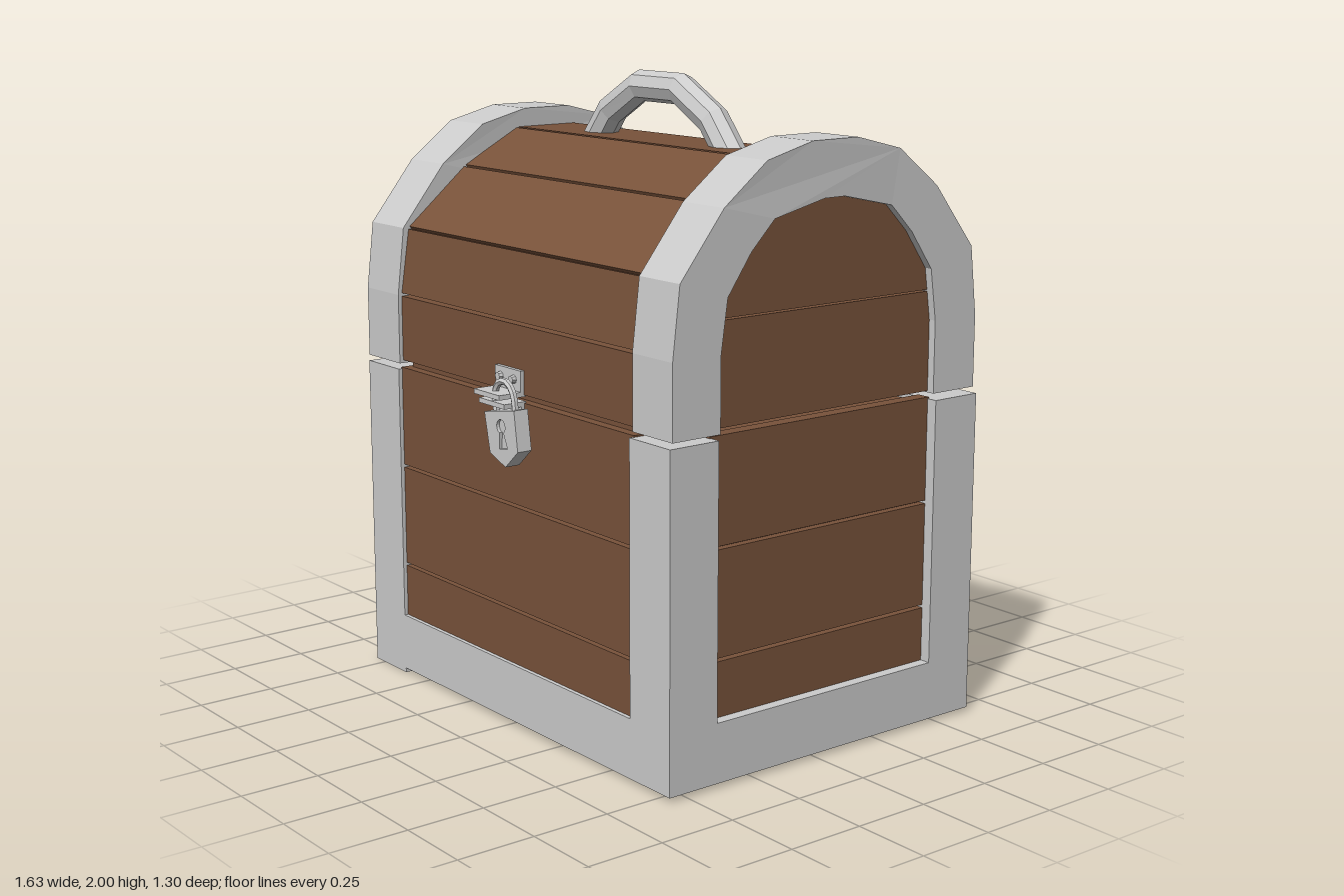
import * as THREE from 'three';

const metal = new THREE.MeshStandardMaterial({ color: 0xcccccc, flatShading: true });
const wood = new THREE.MeshStandardMaterial({ color: 0x78523a, flatShading: true });
const ZC = -0.035; // middle of the chest from front to back

export function createModel() {
  const root = new THREE.Group();

  function add(name, geometry, material, parent = root) {
    const mesh = new THREE.Mesh(geometry, material);
    mesh.name = name;
    parent.add(mesh);
    return mesh;
  }
  function group(name) {
    const g = new THREE.Group();
    g.name = name;
    root.add(g);
    return g;
  }
  // Box given by its limits on each axis
  function box(name, [x0, x1], [y0, y1], [z0, z1], material, parent) {
    const g = new THREE.BoxGeometry(x1 - x0, y1 - y0, z1 - z0);
    g.translate((x0 + x1) / 2, (y0 + y1) / 2, (z0 + z1) / 2);
    return add(name, g, material, parent);
  }
  const shapeOf = (pts) => new THREE.Shape(pts.map(([x, y]) => new THREE.Vector2(x, y)));
  // Profile of [distance from the middle, height] extruded along x
  function prism(pts, x0, x1) {
    const g = new THREE.ExtrudeGeometry(shapeOf(pts), { depth: x1 - x0, bevelEnabled: false });
    return g.rotateY(Math.PI / 2).translate(x0, 0, ZC);
  }
  // Half of an arch mirrored to a full one
  const arch = (half) => [...half, ...half.map(([s, y]) => [-s, y]).reverse()];

  // Lower frame: posts and rails
  const frame = group('lowerFrame');
  for (const sx of [-1, 1]) {
    const px = sx > 0 ? [0.615, 0.8] : [-0.8, -0.615];
    const foot = sx < 0 ? 0 : 0.015;
    box('frontPost', px, [foot, 1.035], [0.39, 0.565], metal, frame);
    box('backPost', px, [0.015, 1.035], [-0.64, -0.465], metal, frame);
    box('sideRail', px, [0.015, 0.2], [-0.465, 0.39], metal, frame);
  }
  box('frontRail', [-0.615, 0.615], [0.015, 0.2], [0.39, 0.565], metal, frame);
  box('backRail', [-0.615, 0.615], [0.015, 0.2], [-0.64, -0.465], metal, frame);

  // Lower planks around a plain inner body
  const body = group('lowerBody');
  box('innerBody', [-0.74, 0.74], [0.06, 1.02], [-0.59, 0.52], wood, body);
  box('innerRim', [-0.6, 0.6], [1.0, 1.08], [-0.59, 0.52], wood, body);
  const levels = [0.19, 0.375, 0.71, 1.045];
  for (let i = 0; i < 3; i++) {
    const y = [levels[i] + 0.005, levels[i + 1] - 0.005];
    box('frontPlank', [-0.62, 0.62], y, [0.5, 0.552], wood, body);
    box('backPlank', [-0.62, 0.62], y, [-0.625, -0.57], wood, body);
    for (const x of [[0.72, 0.765], [-0.765, -0.72]]) box('sidePlank', x, y, [-0.47, 0.395], wood, body);
  }
  for (let i = 0; i < 4; i++) {
    const z = -0.47 + i * 0.216;
    box('bottomPlank', [-0.62, 0.62], [0.04, 0.08], [z + 0.004, z + 0.212], wood, body);
  }

  // Lid: arched end bands, slightly skewed towards the back
  const lid = group('lid');
  const outer = arch([[0.6, 1.055], [0.6, 1.28], [0.575, 1.495], [0.42, 1.69], [0.265, 1.81], [0.09, 1.853]]);
  const inner = arch([[0.428, 1.055], [0.428, 1.28], [0.405, 1.44], [0.32, 1.56], [0.235, 1.645], [0.04, 1.687]]);
  for (const sx of [-1, 1]) {
    const band = sx > 0 ? prism([...outer, ...inner.slice().reverse()], 0.62, 0.8)
      : prism([...outer, ...inner.slice().reverse()], -0.807, -0.617);
    const p = band.attributes.position;
    for (let i = 0; i < p.count; i++) {
      p.setX(i, p.getX(i) + 0.01 * THREE.MathUtils.clamp((p.getZ(i) - ZC) / 0.25, -1, 1));
    }
    band.computeVertexNormals();
    add('lidBand', band, metal, lid);
    // End panels in two boards with a fine gap
    const lower = [[0.435, 1.06], [0.435, 1.28], [0.42, 1.368], [-0.42, 1.368], [-0.435, 1.28], [-0.435, 1.06]];
    const upper = arch([[0.42, 1.373], [0.41, 1.44], [0.33, 1.565], [0.24, 1.66], [0.04, 1.7]]);
    const x = sx > 0 ? [0.72, 0.765] : [-0.765, -0.72];
    add('lidEndBoard', prism(lower, ...x), wood, lid);
    add('lidEndBoard', prism(upper, ...x), wood, lid);
  }

  // Lid planks, one for each facet of the vault
  const vault = arch([[0.587, 1.06], [0.587, 1.28], [0.555, 1.495], [0.335, 1.68], [0.12, 1.793]]);
  const shrink = ([s, y]) => [s * 0.94, 1.05 + (y - 1.05) * 0.95];
  add('innerLid', prism(vault.map(shrink), -0.73, 0.73), wood, lid);
  for (let i = 0; i < vault.length - 1; i++) {
    const a = new THREE.Vector2(...vault[i]);
    const b = new THREE.Vector2(...vault[i + 1]);
    const along = b.clone().sub(a).normalize();
    const inward = new THREE.Vector2(-along.y, along.x).multiplyScalar(0.04);
    a.addScaledVector(along, 0.005);
    b.addScaledVector(along, -0.005);
    const corners = [a, b, b.clone().add(inward), a.clone().add(inward)].map((v) => [v.x, v.y]);
    add('lidPlank', prism(corners, -0.63, 0.63), wood, lid);
  }

  // Carrying handle: an eight-sided bar along a few straight stretches
  const path = [[-0.34, 1.76], [-0.25, 1.868], [-0.1, 1.953], [0.1, 1.953], [0.255, 1.868], [0.345, 1.76]];
  class BarCurve extends THREE.Curve {
    getUtoTmapping(u) { return u; }
    getPoint(t, out = new THREE.Vector3()) {
      const k = t * (path.length - 1);
      const i = Math.min(Math.floor(k), path.length - 2);
      const f = k - i;
      const mix = (c) => path[i][c] + (path[i + 1][c] - path[i][c]) * f;
      return out.set(mix(0), mix(1), ZC);
    }
  }
  add('handle', new THREE.TubeGeometry(new BarCurve(), 5, 0.05, 8, false), metal);

  function bolt(x, y, z, parent) {
    const g = new THREE.CylinderGeometry(0.012, 0.015, 0.02, 8).rotateX(z < 0 ? -Math.PI / 2 : Math.PI / 2);
    add('bolt', g.translate(x, y, z), metal, parent);
  }

  // Hinges on the back
  for (const x of [-0.36, 0.33]) {
    const hinge = group('hinge');
    for (const y of [0.995, 1.1]) {
      box('hingePlate', [x - 0.07, x + 0.07], [y - 0.048, y + 0.048], [-0.638, -0.62], metal, hinge);
      for (const d of [-0.035, 0.035]) bolt(x + d, y, -0.643, hinge);
    }
  }

  // Hasp on the front
  const hasp = group('hasp');
  box('upperPlate', [-0.055, 0.08], [1.06, 1.14], [0.545, 0.565], metal, hasp);
  box('lowerPlate', [-0.055, 0.08], [0.975, 1.045], [0.545, 0.563], metal, hasp);
  box('upperTab', [-0.055, 0.08], [1.06, 1.075], [0.56, 0.643], metal, hasp);
  box('lowerTab', [-0.055, 0.08], [1.03, 1.045], [0.56, 0.625], metal, hasp);
  for (const x of [-0.025, 0.045]) {
    bolt(x, 1.11, 0.568, hasp);
    bolt(x, 1.005, 0.566, hasp);
  }

  // Padlock hanging at a tilt, with a keyhole and a bent shackle
  const padlock = group('padlock');
  const outline = [[-0.08, 0.065], [-0.075, -0.06], [0, -0.105], [0.075, -0.06], [0.08, 0.065]];
  const face = shapeOf(outline);
  const keyhole = new THREE.Path();
  keyhole.moveTo(-0.022, -0.05);
  keyhole.lineTo(-0.01, 0.0);
  keyhole.absarc(0, 0.018, 0.022, Math.PI * 1.35, -Math.PI * 0.35, true);
  keyhole.lineTo(0.022, -0.05);
  keyhole.closePath();
  face.holes.push(keyhole);
  const solid = { depth: 0.04, bevelEnabled: false, curveSegments: 8 };
  add('lockBack', new THREE.ExtrudeGeometry(shapeOf(outline), solid).translate(0, 0, -0.025), metal, padlock);
  add('lockFace', new THREE.ExtrudeGeometry(face, { ...solid, depth: 0.01 }).translate(0, 0, 0.015), metal, padlock);
  const bend = new THREE.CatmullRomCurve3([[-0.05, 0.05], [-0.05, 0.11], [-0.03, 0.143], [0, 0.153],
    [0.03, 0.143], [0.05, 0.11], [0.05, 0.05]].map(([x, y]) => new THREE.Vector3(x, y, 0)));
  add('shackle', new THREE.TubeGeometry(bend, 12, 0.011, 6), metal, padlock);
  padlock.position.set(0.075, 0.96, 0.608);
  padlock.rotation.z = 0.18;

  return root;
}
